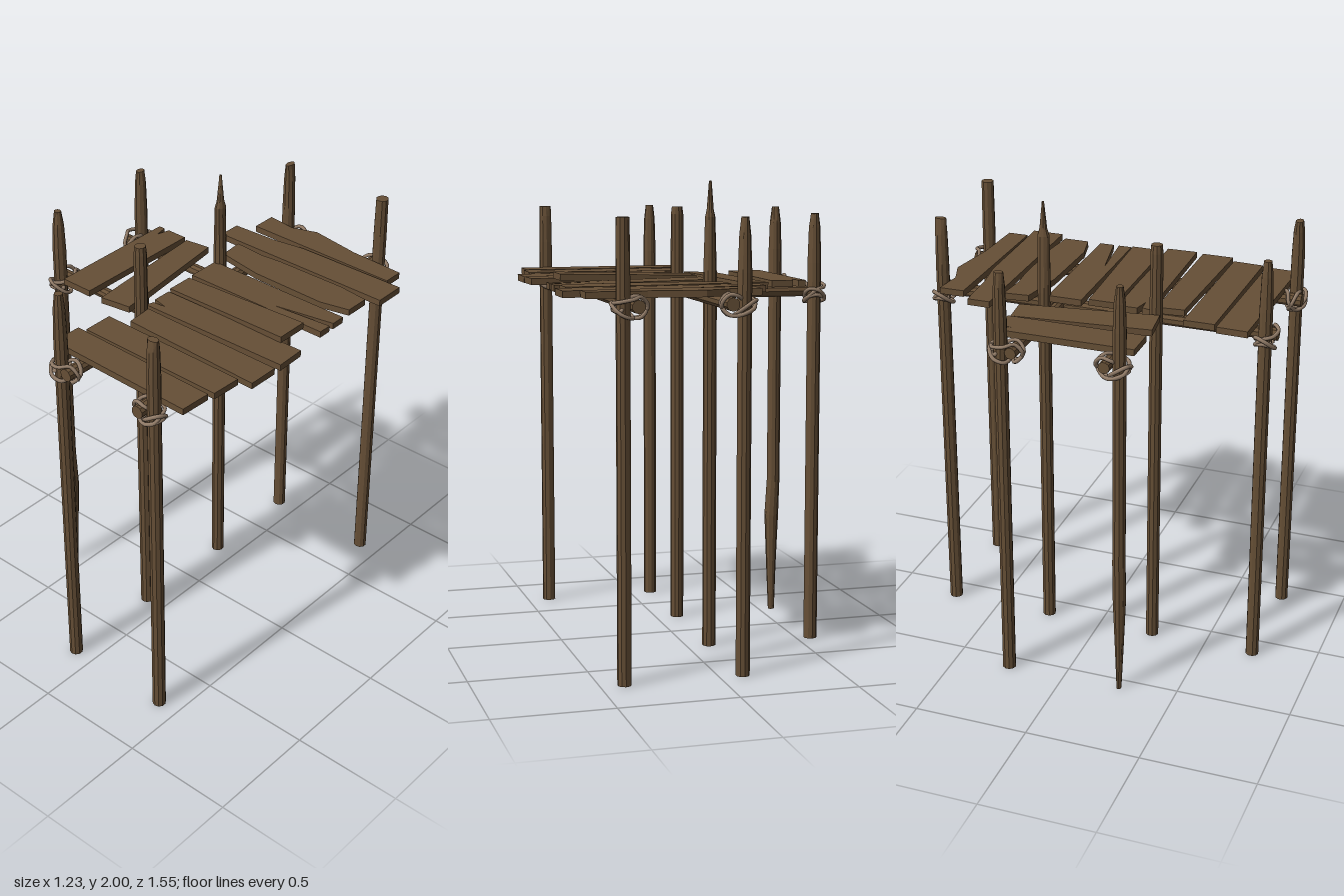
import * as THREE from 'three';

const wood = new THREE.MeshStandardMaterial({ color: 0x664f36, roughness: 1, flatShading: true });
const ropeMat = new THREE.MeshStandardMaterial({ color: 0x927c68, roughness: 1 });
const R = 0.029, BEAM_Y = 1.527;

function add(parent, geo, mat, name) {
  const mesh = new THREE.Mesh(geo, mat);
  mesh.name = name;
  parent.add(mesh);
  return mesh;
}

// Round pole whose rings follow levels of [y, scaleX, scaleZ, offsetX, offsetZ]
function poleGeometry(levels) {
  const n = levels.length - 1;
  const geo = new THREE.CylinderGeometry(R, R, 1, 10, n);
  const p = geo.attributes.position;
  for (let i = 0; i < p.count; i++) {
    const [y, sx, sz, ox = 0, oz = 0] = levels[Math.round((p.getY(i) + 0.5) * n)];
    p.setXYZ(i, p.getX(i) * sx + ox, y, p.getZ(i) * sz + oz);
  }
  geo.computeVertexNormals();
  return geo;
}

// Flat board cut from a top outline of [x, z] points
function plankGeometry(outline, thickness) {
  const shape = new THREE.Shape(outline.map(([x, z]) => new THREE.Vector2(x, -z)));
  return new THREE.ExtrudeGeometry(shape, { depth: thickness, bevelEnabled: false }).rotateX(-Math.PI / 2);
}

// Rope lashing: post at the origin, beam at local x = 0.06 running along z
function lashing() {
  const g = new THREE.Group();
  g.name = 'ropeLashing';
  const loop = (pts) => {
    const curve = new THREE.CatmullRomCurve3(pts.map((q) => new THREE.Vector3(...q)), true);
    add(g, new THREE.TubeGeometry(curve, 40, 0.0085, 6, true), ropeMat, 'ropeLoop');
  };
  for (const [s, k] of [[1, 1], [-1, 0.8]]) {
    loop([
      [-0.04, 0.012 * s, 0], [-0.02, 0.02 * s, 0.036 * k], [0.03, 0.03, 0.04 * s * k + 0.008],
      [0.07, 0.037, 0.022 * s], [0.099, 0, 0.008 * s], [0.07, -0.042, -0.014 * s],
      [0.025, -0.042, -0.036], [-0.025, -0.02, -0.034],
    ]);
  }
  // Slack ring hanging around the post
  loop([[-0.046, 0.004, 0.01], [-0.015, -0.03, 0.042], [0.03, -0.045, 0.03],
    [0.036, -0.035, -0.02], [0, -0.005, -0.042], [-0.038, 0.015, -0.026]]);
  return g;
}

export function createModel() {
  const model = new THREE.Group();
  model.name = 'stiltPlatform';

  // Posts with differently hewn tops
  const plain = [0, 1, 1];
  const posts = [
    [0.4, -0.72, [plain, [1.7, 1, 1], [1.875, 0.92, 0.95]]],
    [0.4, 0.72, [plain, [1.7, 1, 1], [1.82, 0.95, 0.85], [1.865, 0.9, 0.6]]],
    [-0.1, -0.72, [plain, [1.65, 1, 1], [1.8, 0.8, 0.95], [1.87, 0.5, 0.9]]],
    [-0.1, 0.72, [plain, [1.65, 1, 1], [1.8, 0.85, 0.85], [1.865, 0.6, 0.6]]],
    [-0.1, -0.25, [plain, [1.6, 1, 1], [1.85, 0.72, 0.95], [1.88, 0.5, 0.6], [2, 0.2, 0.15]]],
    [-0.1, 0.25, [plain, [1.65, 1, 1], [1.84, 0.95, 0.95], [1.875, 0.8, 0.85]]],
    [-0.565, -0.255, [plain, [1.65, 1, 1], [1.8, 0.85, 0.85], [1.86, 0.55, 0.7]]],
    // This one is also whittled thin at its foot
    [-0.565, 0.255, [[0, 0.5, 0.35, 0.006], [0.2, 0.75, 0.65, 0.008], [0.45, 1.1, 1, 0.008],
      [0.62, 1, 1], [1.68, 1, 1], [1.8, 0.85, 0.85], [1.87, 0.55, 0.5]]],
  ];
  for (const [x, z, levels] of posts) add(model, poleGeometry(levels), wood, 'post').position.set(x, 0, z);

  // Long beams under the main deck
  for (const x of [-0.04, 0.345]) {
    const beam = add(model, new THREE.CylinderGeometry(0.028, 0.028, 1.52, 10), wood, 'mainBeam');
    beam.rotation.x = Math.PI / 2;
    beam.position.set(x, BEAM_Y, 0);
  }
  // Short beams under the side deck
  for (const z of [-0.2, 0.2]) {
    const beam = add(model, new THREE.CylinderGeometry(0.025, 0.025, 0.56, 10), wood, 'sideBeam');
    beam.rotation.z = Math.PI / 2;
    beam.position.set(-0.32, BEAM_Y, z);
  }

  // Rough planks: [bottom height, slope along x, outline]
  const planks = [
    [1.556, 0, [[-0.18, -0.7], [-0.05, -0.685], [0.06, -0.725], [0.29, -0.69], [0.54, -0.68], [0.54, -0.59], [-0.18, -0.59]]],
    [1.554, 0, [[-0.25, -0.54], [-0.05, -0.55], [0.1, -0.575], [0.61, -0.585], [0.61, -0.445], [-0.25, -0.44]]],
    [1.555, 0, [[-0.14, -0.42], [0, -0.41], [0.1, -0.42], [0.42, -0.425], [0.56, -0.41], [0.56, -0.3], [0.43, -0.27], [0.08, -0.275], [-0.13, -0.31]]],
    [1.557, -0.012, [[-0.11, -0.23], [0.57, -0.245], [0.57, -0.18], [0.3, -0.125], [0.57, -0.155], [0.57, -0.095], [-0.11, -0.08]]],
    [1.566, 0.03, [[-0.1, -0.05], [0.505, -0.065], [0.505, 0.08], [-0.1, 0.07]]],
    [1.554, 0, [[-0.1, 0.08], [0.6, 0.07], [0.605, 0.205], [-0.1, 0.22], [-0.09, 0.185], [-0.03, 0.18], [-0.1, 0.165]]],
    [1.556, -0.008, [[-0.07, 0.24], [0.6, 0.235], [0.6, 0.375], [-0.06, 0.36]]],
    [1.554, 0.005, [[-0.155, 0.385], [0.545, 0.395], [0.54, 0.53], [-0.155, 0.52]]],
    [1.557, 0, [[-0.185, 0.535], [0.525, 0.55], [0.52, 0.69], [-0.19, 0.67]]],
    [1.553, 0, [[-0.505, -0.31], [-0.475, -0.31], [-0.465, -0.25], [-0.45, -0.31], [-0.355, -0.31], [-0.355, 0.295], [-0.505, 0.295]]],
    [1.56, 0.04, [[-0.34, -0.305], [-0.22, -0.315], [-0.14, 0.28], [-0.285, 0.295]]],
  ];
  for (const [y, slope, outline] of planks) {
    const plank = add(model, plankGeometry(outline, 0.028), wood, 'plank');
    plank.position.y = y;
    plank.rotation.z = slope;
  }

  // Rope lashings where posts meet beams
  for (const z of [-0.72, 0.72]) {
    for (const [x, turn] of [[-0.1, 0], [0.4, Math.PI]]) {
      const rope = lashing();
      rope.position.set(x, BEAM_Y, z);
      rope.rotation.y = turn;
      model.add(rope);
    }
  }
  for (const s of [-1, 1]) {
    const rope = lashing();
    rope.position.set(-0.565, BEAM_Y, 0.255 * s);
    rope.rotation.y = s * Math.PI / 2;
    model.add(rope);
  }
  return model;
}
